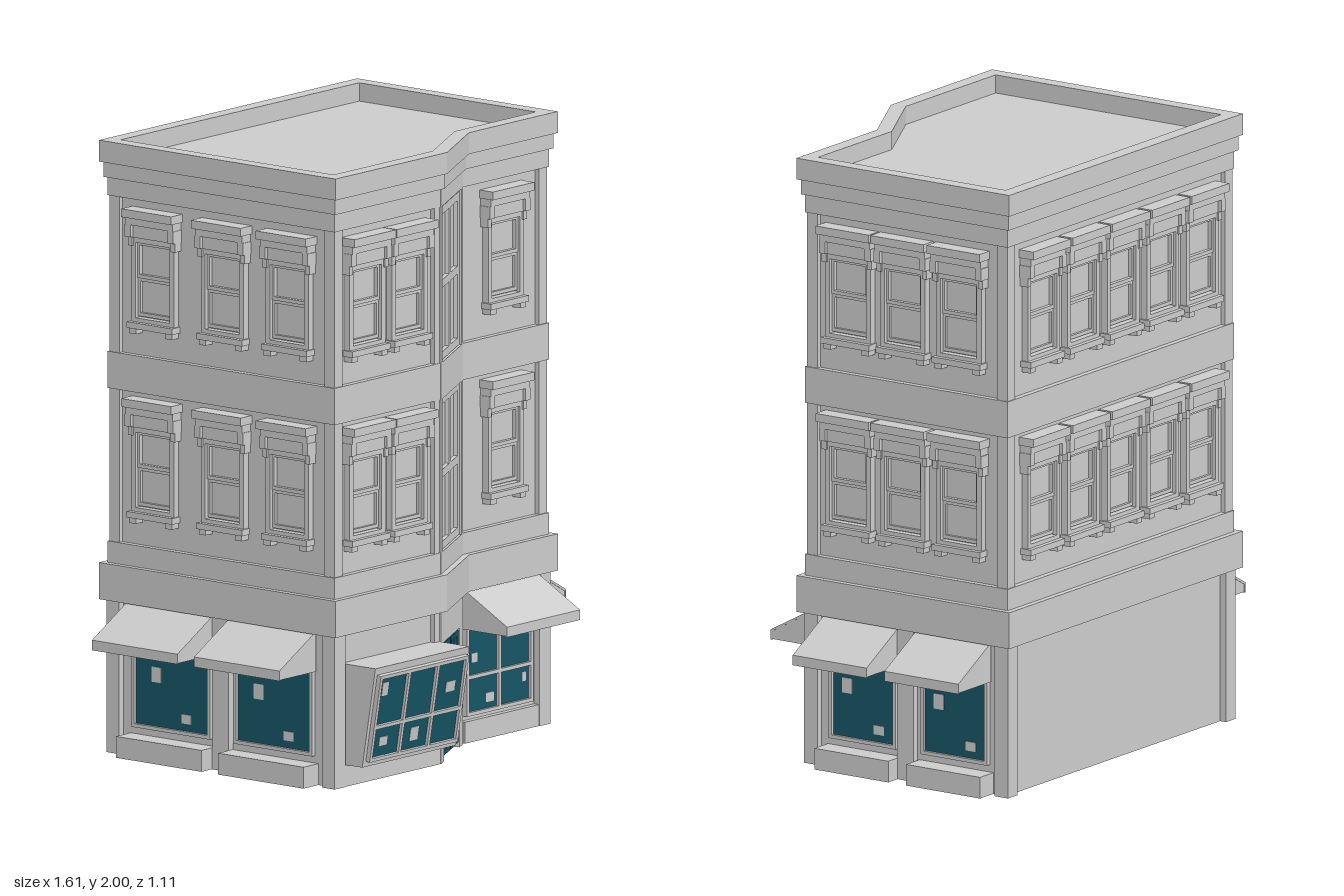
import * as THREE from 'three';

const grey = new THREE.MeshStandardMaterial({ color: 0xcccccc, side: THREE.DoubleSide });
const teal = new THREE.MeshStandardMaterial({ color: 0x165566 });

// Outer footprint as [x, z], with the chamfered entrance corner in front
const FOOT = [[-0.65, -0.54], [-0.65, 0.445], [-0.09, 0.445], [0.2, 0.295], [0.645, 0.295], [0.645, -0.54]];
const CORE = 0.04; // inset of the main wall planes

function add(parent, name, geometry, material = grey) {
  const mesh = new THREE.Mesh(geometry, material);
  mesh.name = name;
  parent.add(mesh);
  return mesh;
}

// Box given by its extents
function box(parent, name, x0, x1, y0, y1, z0, z1, material) {
  const g = new THREE.BoxGeometry(x1 - x0, y1 - y0, z1 - z0);
  g.translate((x0 + x1) / 2, (y0 + y1) / 2, (z0 + z1) / 2);
  return add(parent, name, g, material);
}

// Footprint inset by d, as shape points (x, -z)
function inset(d) {
  const n = FOOT.length;
  const normal = (a, b) => {
    const dx = b[0] - a[0], dz = b[1] - a[1], l = Math.hypot(dx, dz);
    return [dz / l, -dx / l]; // inward
  };
  return FOOT.map((p, i) => {
    const a = normal(FOOT[(i + n - 1) % n], p), b = normal(p, FOOT[(i + 1) % n]);
    const k = d / (1 + a[0] * b[0] + a[1] * b[1]);
    return new THREE.Vector2(p[0] + (a[0] + b[0]) * k, -(p[1] + (a[1] + b[1]) * k));
  });
}

// Horizontal layer of the building, optionally hollow
function layer(parent, name, d, y0, y1, hollow) {
  const shape = new THREE.Shape(inset(d));
  if (hollow) shape.holes.push(new THREE.Path(inset(hollow)));
  const g = new THREE.ExtrudeGeometry(shape, { depth: y1 - y0, bevelEnabled: false });
  g.rotateX(-Math.PI / 2).translate(0, y0, 0);
  return add(parent, name, g);
}

function rect(path, x0, x1, y0, y1) {
  return path.moveTo(x0, y0).lineTo(x1, y0).lineTo(x1, y1).lineTo(x0, y1).closePath();
}

// Frame with one hole per cell; bars are t wide
function grid(parent, name, xs, ys, t, z0, z1) {
  const h = t / 2;
  const shape = rect(new THREE.Shape(), xs[0] - h, xs.at(-1) + h, ys[0] - h, ys.at(-1) + h);
  for (let i = 0; i < xs.length - 1; i++)
    for (let j = 0; j < ys.length - 1; j++)
      shape.holes.push(rect(new THREE.Path(), xs[i] + h, xs[i + 1] - h, ys[j] + h, ys[j + 1] - h));
  const g = new THREE.ExtrudeGeometry(shape, { depth: z1 - z0, bevelEnabled: false });
  return add(parent, name, g.translate(0, 0, z0));
}

// Group lying on a wall: local x runs along it, local z points outward
function wall(parent, name, x, z, turn) {
  const g = new THREE.Group();
  g.name = name;
  g.position.set(x, 0, z);
  g.rotation.y = turn;
  parent.add(g);
  return g;
}

// Sash window with sill, hood and brackets; y is the bottom of the casing
function sashWindow(parent, x, y) {
  const w = new THREE.Group();
  w.name = 'sashWindow';
  w.position.set(x, y, 0);
  parent.add(w);
  grid(w, 'casing', [-0.08, 0.08], [0.006, 0.27], 0.018, 0, 0.024);
  grid(w, 'upperSash', [-0.068, 0.068], [0.15, 0.258], 0.012, 0, 0.014);
  grid(w, 'lowerSash', [-0.068, 0.068], [0.025, 0.14], 0.012, 0, 0.01);
  box(w, 'sill', -0.095, 0.095, -0.018, 0.002, 0, 0.04);
  box(w, 'hoodPanel', -0.092, 0.092, 0.278, 0.33, 0, 0.03);
  box(w, 'hoodMoulding', -0.098, 0.098, 0.32, 0.345, 0, 0.042);
  box(w, 'hoodTop', -0.104, 0.104, 0.345, 0.372, 0, 0.056);
  for (const s of [-1, 1]) {
    const c = s * 0.089;
    box(w, 'hoodBracket', c - 0.012, c + 0.012, 0.28, 0.32, 0, 0.042);
    box(w, 'bracketFoot', c - 0.009, c + 0.009, 0.25, 0.28, 0, 0.03);
    box(w, 'sillBracket', s * 0.075 - 0.014, s * 0.075 + 0.014, -0.036, -0.018, 0, 0.034);
  }
}

// Glass with muntins and small paper notices [x, y, w, h]
function shopWindow(parent, xs, ys, notices, z = 0) {
  box(parent, 'shopGlass', xs[0], xs.at(-1), ys[0], ys.at(-1), z, z + 0.006, teal);
  grid(parent, 'shopWindowFrame', xs, ys, 0.012, z, z + 0.016);
  for (const [x, y, w, h] of notices)
    box(parent, 'notice', x - w / 2, x + w / 2, y - h / 2, y + h / 2, z + 0.006, z + 0.008);
}

// Sloping cloth awning with valance and side cheeks
function awning(parent, x0, x1) {
  const strip = new THREE.Shape();
  [[0.01, 0.505], [0.195, 0.403], [0.195, 0.37], [0.19, 0.37], [0.19, 0.398], [0.01, 0.497]]
    .forEach(([z, y], i) => (i ? strip.lineTo(-z, y) : strip.moveTo(-z, y)));
  const g = new THREE.ExtrudeGeometry(strip, { depth: x1 - x0, bevelEnabled: false });
  add(parent, 'awningCloth', g.rotateY(Math.PI / 2).translate(x0, 0, 0));
  const cheek = new THREE.Shape();
  cheek.moveTo(-0.01, 0.5).lineTo(-0.192, 0.4).lineTo(-0.192, 0.372).lineTo(-0.01, 0.372).closePath();
  for (const x of [x0 + 0.002, x1 - 0.002])
    add(parent, 'awningCheek', new THREE.ShapeGeometry(cheek).rotateY(Math.PI / 2).translate(x, 0, 0));
}

// Side shop bay: window, awning and ground ledge
function sideShop(parent, c, half, notices) {
  const w = half - 0.02;
  shopWindow(parent, [c - w, c + w], [0.1, 0.37], notices.map(([x, y, a, b]) => [c + x, y, a, b]));
  box(parent, 'groundLedge', c - half, c + half, 0, 0.07, 0, 0.075);
  awning(parent, c - half, c + half);
}

export function createModel() {
  const model = new THREE.Group();
  model.name = 'cornerShopBuilding';

  // Walls, bands, cornice and parapet
  layer(model, 'mainWalls', CORE, 0, 1.94);
  layer(model, 'shopCornice', 0, 0.5, 0.62);
  layer(model, 'shopCorniceTop', 0.02, 0.62, 0.69);
  layer(model, 'middleBand', 0.02, 1.19, 1.31);
  layer(model, 'frieze', 0.02, 1.82, 1.88);
  layer(model, 'corniceMoulding', 0.01, 1.88, 1.93, 0.045);
  layer(model, 'parapet', 0, 1.93, 2, 0.05);

  // Corner piers
  for (const [x, z] of [FOOT[0], FOOT[1], FOOT[4], FOOT[5]]) {
    const sx = Math.sign(x), sz = Math.sign(z);
    for (const [d, w, y0, y1] of [[0.017, 0.07, 0, 0.5], [0.024, 0.065, 0.69, 1.82]]) {
      const xs = [x - sx * d, x - sx * w].sort((a, b) => a - b);
      const zs = [z - sz * d, z - sz * w].sort((a, b) => a - b);
      box(model, 'cornerPier', ...xs, y0, y1, ...zs);
    }
  }

  const frontLeft = wall(model, 'frontWideWall', 0, 0.405, 0);
  const frontRight = wall(model, 'frontNarrowWall', 0, 0.255, 0);
  const right = wall(model, 'positiveSideWall', 0.605, 0, Math.PI / 2);
  const left = wall(model, 'negativeSideWall', -0.61, 0, -Math.PI / 2);
  const back = wall(model, 'backWall', 0, -0.5, Math.PI);
  const entrance = wall(model, 'entranceWall', 0.037, 0.334, Math.atan2(0.15, 0.29));

  // Sash windows on both upper floors
  for (const y of [0.8, 1.42]) {
    [-0.47, -0.257].forEach(x => sashWindow(frontLeft, x, y));
    sashWindow(frontRight, 0.405, y);
    [-0.105, 0.11, 0.33].forEach(x => sashWindow(right, x, y));
    [-0.33, -0.04, 0.23].forEach(x => sashWindow(left, x, y));
    [-0.43, -0.21, 0.01, 0.23, 0.45].forEach(x => sashWindow(back, x, y));
  }

  // Wide front shop window: bay leaning outward
  const profile = new THREE.Shape();
  profile.moveTo(0, 0.07).lineTo(-0.085, 0.07).lineTo(-0.14, 0.4).lineTo(0, 0.4).closePath();
  const bay = new THREE.ExtrudeGeometry(profile, { depth: 0.47, bevelEnabled: false });
  add(frontLeft, 'leaningBay', bay.rotateY(Math.PI / 2).translate(-0.57, 0, 0));
  const leaning = new THREE.Group();
  leaning.name = 'leaningWindow';
  leaning.position.set(-0.335, 0.07, 0.085);
  leaning.rotation.x = Math.atan2(0.055, 0.33);
  frontLeft.add(leaning);
  shopWindow(leaning, [-0.215, -0.072, 0.072, 0.215], [0.025, 0.135, 0.305],
    [[-0.18, 0.26, 0.03, 0.045], [-0.155, 0.08, 0.04, 0.03], [0, 0.08, 0.04, 0.045], [0.155, 0.215, 0.045, 0.035]]);
  box(frontLeft, 'plinth', -0.58, -0.1, 0, 0.07, 0, 0.02);
  box(frontLeft, 'wallTrim', -0.125, -0.095, 0, 1.82, 0, 0.017);

  // Narrow front shop window
  shopWindow(frontRight, [0.225, 0.385, 0.545], [0.09, 0.21, 0.37],
    [[0.265, 0.27, 0.03, 0.03], [0.345, 0.13, 0.04, 0.03], [0.515, 0.17, 0.02, 0.03]]);
  box(frontRight, 'plinth', 0.205, 0.58, 0, 0.07, 0, 0.02);
  awning(frontRight, 0.205, 0.57);

  // Side shops
  const notices = [[-0.065, 0.275, 0.04, 0.05], [0.06, 0.145, 0.04, 0.03]];
  [-0.055, 0.305].forEach(c => sideShop(right, c, 0.145, notices));
  [-0.262, 0.163].forEach(c => sideShop(left, c, 0.178, notices));
  box(right, 'shopPier', 0.088, 0.152, 0, 0.5, 0, 0.023);
  box(left, 'shopPier', -0.084, -0.015, 0, 0.5, 0, 0.023);

  // Entrance corner: stiles, tall panelled windows and double door
  for (const s of [-1, 1]) {
    const stile = [s * 0.142, s * 0.163].sort((a, b) => a - b);
    box(entrance, 'entranceStile', ...stile, 0.4, 1.88, 0, 0.02);
    const jamb = [s * 0.115, s * 0.163].sort((a, b) => a - b);
    box(entrance, 'doorJamb', ...jamb, 0, 0.4, 0, 0.02);
    box(entrance, 'doorHandle', s * 0.022 - 0.004, s * 0.022 + 0.004, 0.17, 0.25, 0.016, 0.028);
  }
  box(entrance, 'doorLintel', -0.163, 0.163, 0.39, 0.5, 0, 0.02);
  box(entrance, 'doorGlass', -0.115, 0.115, 0.01, 0.39, 0, 0.006, teal);
  for (const c of [-0.057, 0.057])
    grid(entrance, 'doorLeaf', [c - 0.048, c + 0.048], [0.025, 0.205, 0.375], 0.016, 0, 0.016).material = teal;
  for (const y of [0.69, 1.31])
    grid(entrance, 'entrancePanelWindow', [-0.125, 0, 0.125], [y + 0.015, y + 0.25, y + 0.49], 0.026, 0, 0.014);

  return model;
}
